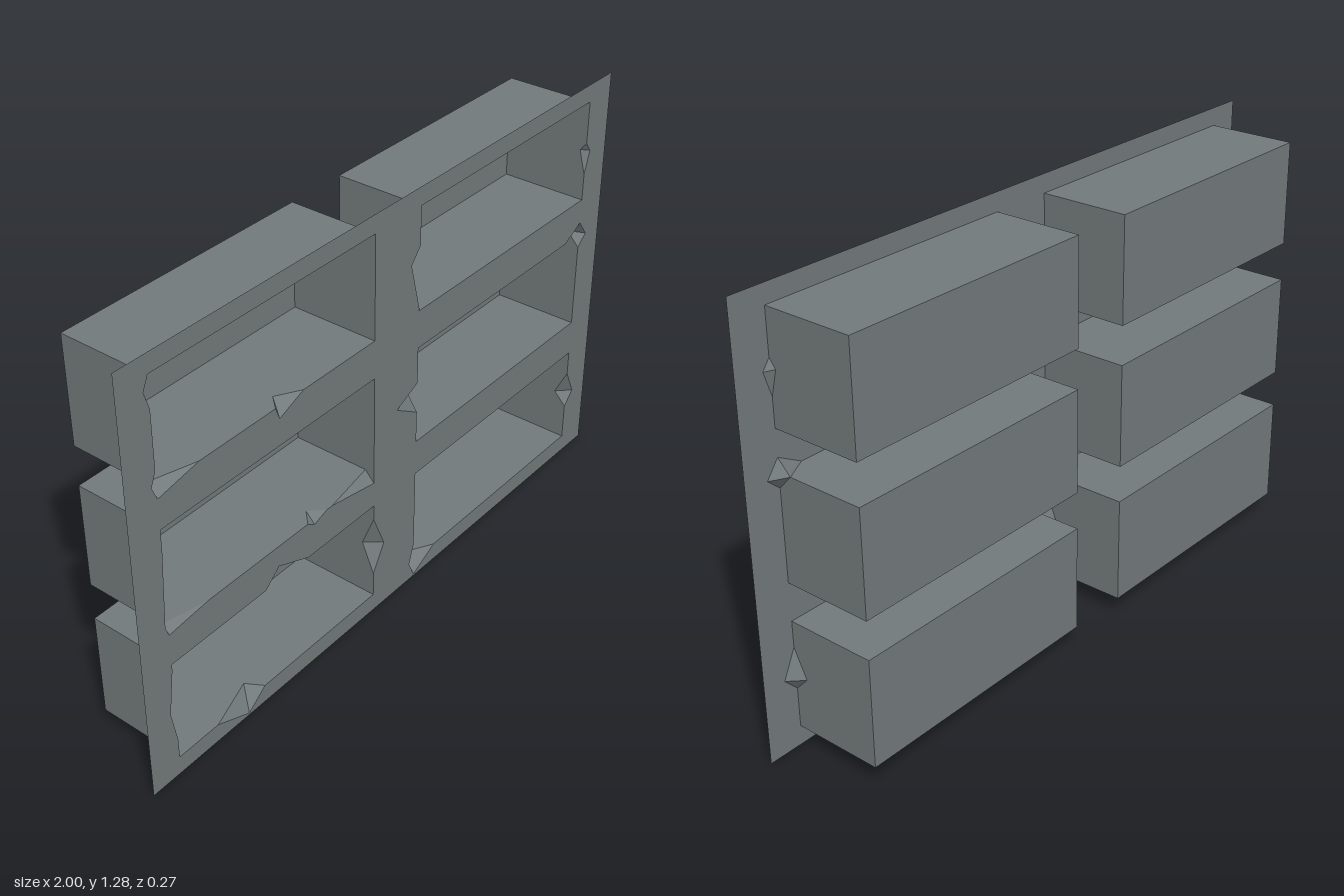
import * as THREE from 'three';

const FRONT = 0.135, BACK = -0.135, HEIGHT = 1.285;
const grey = new THREE.MeshStandardMaterial({ color: 0x737a7b, side: THREE.DoubleSide });
grey.name = 'slate grey';

// Sides run counter-clockwise: 0 bottom, 1 right, 2 top, 3 left. Corner k starts side k.
// Chip on one side: from and to along the side, deepest point and depth, then rim points.
const edge = (side, from, to, deep, depth, ...rim) => ({ side, end: side, from, to, deep, depth, rim });
// Chip that breaks away corner k.
const corner = (k, from, to, depth, ...rim) => ({ side: (k + 3) % 4, end: k, from, to, depth, rim });

const LEFT = [-0.9, -0.1], RIGHT = [0.09, 0.893];
const LOW = [0.057, 0.378], MID = [0.49, 0.8], TOP = [0.917, 1.23];

const pockets = [
  { name: 'topLeft', x: LEFT, y: TOP, chips: [
    edge(0, -0.49, -0.385, -0.455, 0.04, [-0.476, 0.88]),
    edge(3, 1.225, 1.14, 1.19, 0.025, [-0.916, 1.19]),
    corner(0, 0.97, -0.76, 0.04, [-0.916, 0.93], [-0.9, 0.89]),
  ] },
  { name: 'middleLeft', x: LEFT, y: MID, chips: [
    edge(0, -0.38, -0.3, -0.34, 0.04, [-0.353, 0.473]),
    corner(1, -0.28, 0.5, 0.03, [-0.1, 0.457]),
    corner(0, 0.735, -0.76, 0.03, [-0.911, 0.505], [-0.9, 0.475]),
  ] },
  { name: 'bottomLeft', x: LEFT, y: LOW, chips: [
    edge(0, -0.755, -0.57, -0.6, 0.05, [-0.636, 0.006]),
    edge(1, 0.135, 0.33, 0.23, 0.04, [-0.053, 0.22]),
    edge(2, -0.38, -0.55, -0.48, 0.055, [-0.497, 0.425]),
    edge(3, 0.36, 0.12, 0.23, 0.04, [-0.918, 0.22]),
  ] },
  { name: 'topRight', x: RIGHT, y: TOP, chips: [
    edge(1, 1.0, 1.1, 1.075, 0.02, [0.915, 1.07]),
    edge(3, 1.115, 0.925, 1.075, 0.04, [0.053, 1.07]),
  ] },
  { name: 'middleRight', x: RIGHT, y: MID, chips: [
    corner(2, 0.757, 0.82, 0.04, [0.93, 0.79], [0.893, 0.84]),
    edge(3, 0.687, 0.59, 0.65, 0.04, [0.0, 0.645]),
  ] },
  { name: 'bottomRight', x: RIGHT, y: LOW, chips: [
    edge(1, 0.175, 0.3, 0.217, 0.04, [0.932, 0.217]),
    corner(0, 0.12, 0.19, 0.055, [0.07, 0.057], [0.093, 0.005]),
  ] },
];

const sidePoint = (p, side, c) =>
  [[c, p.y[0]], [p.x[1], c], [c, p.y[1]], [p.x[0], c]][side];
const cornerPoint = (p, k) =>
  [[p.x[0], p.y[0]], [p.x[1], p.y[0]], [p.x[1], p.y[1]], [p.x[0], p.y[1]]][k % 4];
const cornerChip = (p, k) => p.chips.find(c => c.side !== c.end && c.end === k % 4);
const vectors = pts => pts.map(([x, y]) => new THREE.Vector2(x, y));
const chipPath = (p, c) => [sidePoint(p, c.side, c.from), ...c.rim, sidePoint(p, c.end, c.to)];

// Opening in the panel, including its broken edges
function outline(p) {
  const pts = [];
  for (let k = 0; k < 4; k++) {
    if (!cornerChip(p, k)) pts.push(cornerPoint(p, k));
    for (const c of p.chips) if (c.side === k) pts.push(...chipPath(p, c));
  }
  return vectors(pts);
}

// Pocket wall, notched at the front wherever it is chipped
function wall(p, side) {
  const axis = side % 2; // 0 runs along x, 1 along y
  const front = [];
  for (const k of [side, side + 1]) {
    const chip = cornerChip(p, k);
    front.push([cornerPoint(p, k)[axis], FRONT - (chip ? chip.depth : 0)]);
  }
  const [lo, hi] = axis ? p.y : p.x;
  for (const c of p.chips) {
    if (c.side === side) front.push([c.from, FRONT]);
    if (c.end === side) front.push([c.to, FRONT]);
    if (c.side === side && c.end === side) front.push([c.deep, FRONT - c.depth]);
  }
  front.sort((a, b) => a[0] - b[0]);
  const geo = new THREE.ShapeGeometry(new THREE.Shape(vectors([...front, [hi, BACK], [lo, BACK]])));
  const pos = geo.attributes.position;
  for (let i = 0; i < pos.count; i++) {
    const [x, y] = sidePoint(p, side, pos.getX(i));
    pos.setXYZ(i, x, y, pos.getY(i));
  }
  geo.computeVertexNormals();
  return geo;
}

// Facets fanning from the deepest point of a chip to its rim
function chipFacets(p, c) {
  const [dx, dy] = c.side === c.end ? sidePoint(p, c.side, c.deep) : cornerPoint(p, c.end);
  const path = chipPath(p, c), verts = [];
  for (let i = 0; i + 1 < path.length; i++)
    verts.push(dx, dy, FRONT - c.depth, ...path[i + 1], FRONT, ...path[i], FRONT);
  const geo = new THREE.BufferGeometry();
  geo.setAttribute('position', new THREE.Float32BufferAttribute(verts, 3));
  geo.computeVertexNormals();
  return geo;
}

export function createModel() {
  const model = new THREE.Group();
  model.name = 'pocketPanel';
  const add = (parent, geo, name) => {
    const mesh = new THREE.Mesh(geo, grey);
    mesh.name = name;
    parent.add(mesh);
    return mesh;
  };

  // Thin front panel with six openings
  const panel = new THREE.Shape(vectors([[-1, 0], [1, 0], [1, HEIGHT], [-1, HEIGHT]]));
  for (const p of pockets) panel.holes.push(new THREE.Path(outline(p)));
  add(model, new THREE.ShapeGeometry(panel), 'frontPanel').position.z = FRONT;

  // Recessed pockets behind the openings
  for (const p of pockets) {
    const pocket = new THREE.Group();
    pocket.name = p.name + 'Pocket';
    const back = add(pocket, new THREE.PlaneGeometry(p.x[1] - p.x[0], p.y[1] - p.y[0]), 'pocketBack');
    back.position.set((p.x[0] + p.x[1]) / 2, (p.y[0] + p.y[1]) / 2, BACK);
    ['floor', 'rightWall', 'ceiling', 'leftWall'].forEach((n, i) => add(pocket, wall(p, i), n));
    for (const c of p.chips) add(pocket, chipFacets(p, c), 'brokenEdge');
    model.add(pocket);
  }
  return model;
}
